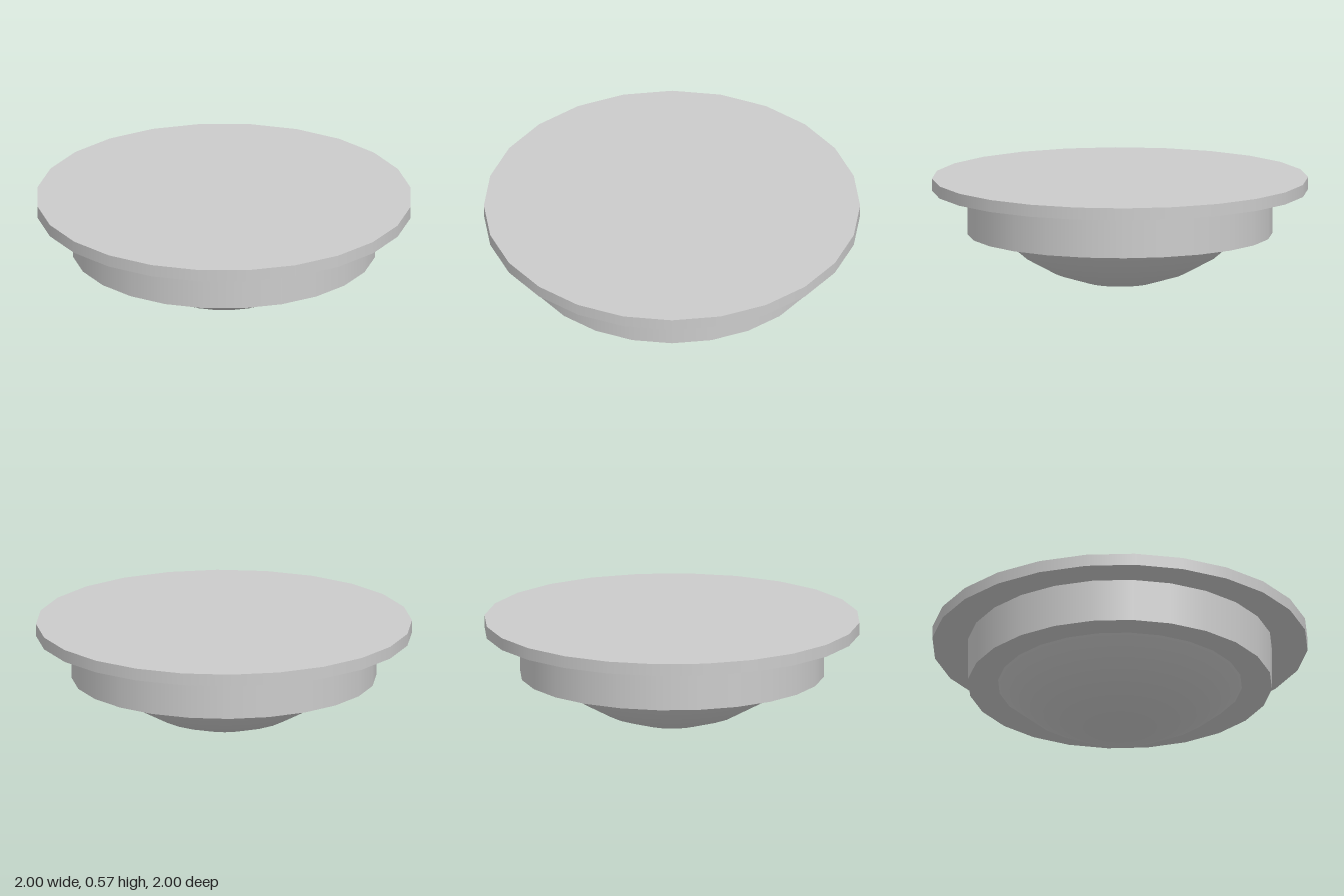
import * as THREE from 'three';

const SIDES = 24;

export function createModel() {
  const group = new THREE.Group();
  const material = new THREE.MeshStandardMaterial({ color: 0xcccccc });

  const add = (name, geometry, y) => {
    const mesh = new THREE.Mesh(geometry, material);
    mesh.name = name;
    mesh.position.y = y;
    group.add(mesh);
  };
  const disc = (name, radius, bottom, top) =>
    add(name, new THREE.CylinderGeometry(radius, radius, top - bottom, SIDES), (bottom + top) / 2);

  // Wide top plate and the narrower collar below it
  disc('topFlange', 1, 0.51, 0.575);
  disc('collar', 0.81, 0.275, 0.51);

  // Shallow spherical cap bulging down from the collar
  const radius = 0.906;
  const capAngle = Math.acos((radius - 0.275) / radius);
  add('bottomDome',
    new THREE.SphereGeometry(radius, SIDES, 4, 0, Math.PI * 2, Math.PI - capAngle, capAngle), radius);

  return group;
}
